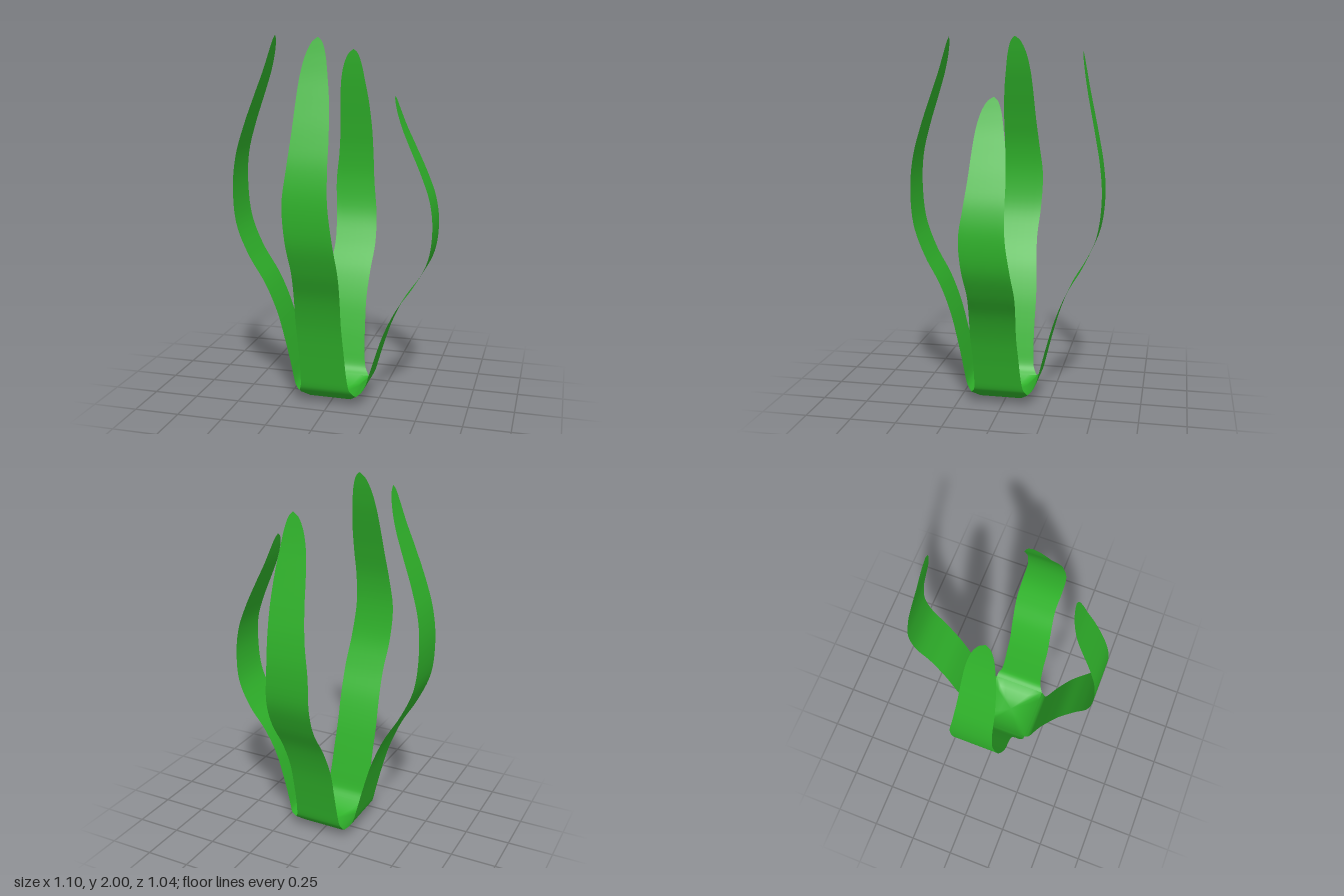
import * as THREE from 'three';
import { mergeGeometries, mergeVertices } from 'three/addons/utils/BufferGeometryUtils.js';

const RIM = { r: 0.157, y: 0.065 }; // where the petals leave the base
const BASE_Z = 0.016; // the base sits slightly forward
const MAX_R = 0.55, TIP_R = 0.32;

// Petal rows above the rim: height fraction, distance from the axis, left width, right width
const ROWS = [
  [0.012, 0.182, 0.155, 0.138],
  [0.03, 0.2, 0.145, 0.124],
  [0.075, 0.222, 0.141, 0.115],
  [0.145, 0.256, 0.14, 0.11],
  [0.227, 0.302, 0.142, 0.106],
  [0.31, 0.367, 0.132, 0.114],
  [0.392, 0.457, 0.12, 0.124],
  [0.48, 0.528, 0.131, 0.114],
  [0.58, 0.55, 0.138, 0.095],
  [0.67, 0.531, 0.119, 0.09],
  [0.755, 0.48, 0.105, 0.086],
  [0.84, 0.418, 0.097, 0.073],
  [0.9, 0.375, 0.088, 0.056],
  [0.95, 0.345, 0.069, 0.04],
  [0.985, 0.327, 0.04, 0.02],
  [1, 0.32, 0.008, -0.004],
];

// Ribbon skinned over cross-sections [r, y, left, right], running along +z
function ribbon(sections, columns = 6) {
  const pos = [], index = [], w = columns + 1;
  sections.forEach(([r, y, a, b], i) => {
    for (let j = 0; j < w; j++) {
      pos.push(THREE.MathUtils.lerp(-a, b, j / columns), y, r);
      if (i && j) {
        const q = i * w + j, p = q - w;
        index.push(p - 1, q - 1, p, p, q - 1, q);
      }
    }
  });
  const geo = new THREE.BufferGeometry();
  geo.setAttribute('position', new THREE.Float32BufferAttribute(pos, 3));
  geo.setIndex(index);
  return geo;
}

function petalGeometry(height, startR, side, maxR, tipR) {
  const spline = (pts) => new THREE.CatmullRomCurve3(pts, false, 'catmullrom', 0.5);
  const rows = [[0, RIM.r, RIM.r + side, RIM.r - side], ...ROWS];
  const widest = rows.findIndex((row) => row[1] === MAX_R);
  const path = spline(rows.map(([t, r], i) => {
    // Stretch the bulge to maxR and the inward lean to tipR
    const out = i <= widest
      ? startR + (r - RIM.r) * (maxR - startR) / (MAX_R - RIM.r)
      : maxR - (MAX_R - r) * (maxR - tipR) / (MAX_R - TIP_R);
    return new THREE.Vector3(out, RIM.y + t * (height - RIM.y), 0);
  }));
  const width = spline(rows.map((row) => new THREE.Vector3(row[2], row[3], 0)));
  const steps = 80, sections = [];
  for (let i = 0; i <= steps; i++) {
    const p = path.getPoint(i / steps), w = width.getPoint(i / steps);
    sections.push([p.x, p.y, w.x, w.y]);
  }
  const geo = ribbon(sections);
  geo.computeVertexNormals();
  return geo;
}

export function createModel() {
  const group = new THREE.Group();
  const material = new THREE.MeshStandardMaterial({ color: 0x30b42b, side: THREE.DoubleSide });
  const add = (name, geo) => {
    const mesh = new THREE.Mesh(geo, material);
    mesh.name = name;
    group.add(mesh);
    return mesh;
  };

  // Shallow base: four triangular sectors joined along the diagonals
  const sector = ribbon([[0, 0], [0.06, 0.013], [0.115, 0.03], [RIM.r, RIM.y]]
    .map(([r, y]) => [r, y, r, r]));
  const base = mergeVertices(mergeGeometries(
    [0, 1, 2, 3].map((k) => sector.clone().rotateY(k * Math.PI / 2))), 1e-4);
  base.computeVertexNormals();
  add('base', base).position.z = BASE_Z;

  // Petals: name, height, widest reach, tip reach, turn, mirrored, z shift
  const petals = [
    ['frontPetal', 1.99, 0.52, 0.32, 0, 1, 0],
    ['leftPetal', 1.69, 0.55, 0.32, Math.PI / 2, 1, 0],
    ['backPetal', 1.92, 0.52, 0.4, Math.PI, -1, 0],
    ['rightPetal', 2, 0.55, 0.33, -Math.PI / 2, 1, 0.03],
  ];
  for (const [name, height, maxR, tipR, turn, mirror, shift] of petals) {
    const startR = RIM.r + BASE_Z * Math.cos(turn);
    const side = BASE_Z * Math.abs(Math.sin(turn));
    const petal = add(name, petalGeometry(height, startR, side, maxR, tipR));
    petal.rotation.y = turn;
    petal.scale.x = mirror;
    petal.position.z = shift;
  }
  return group;
}
